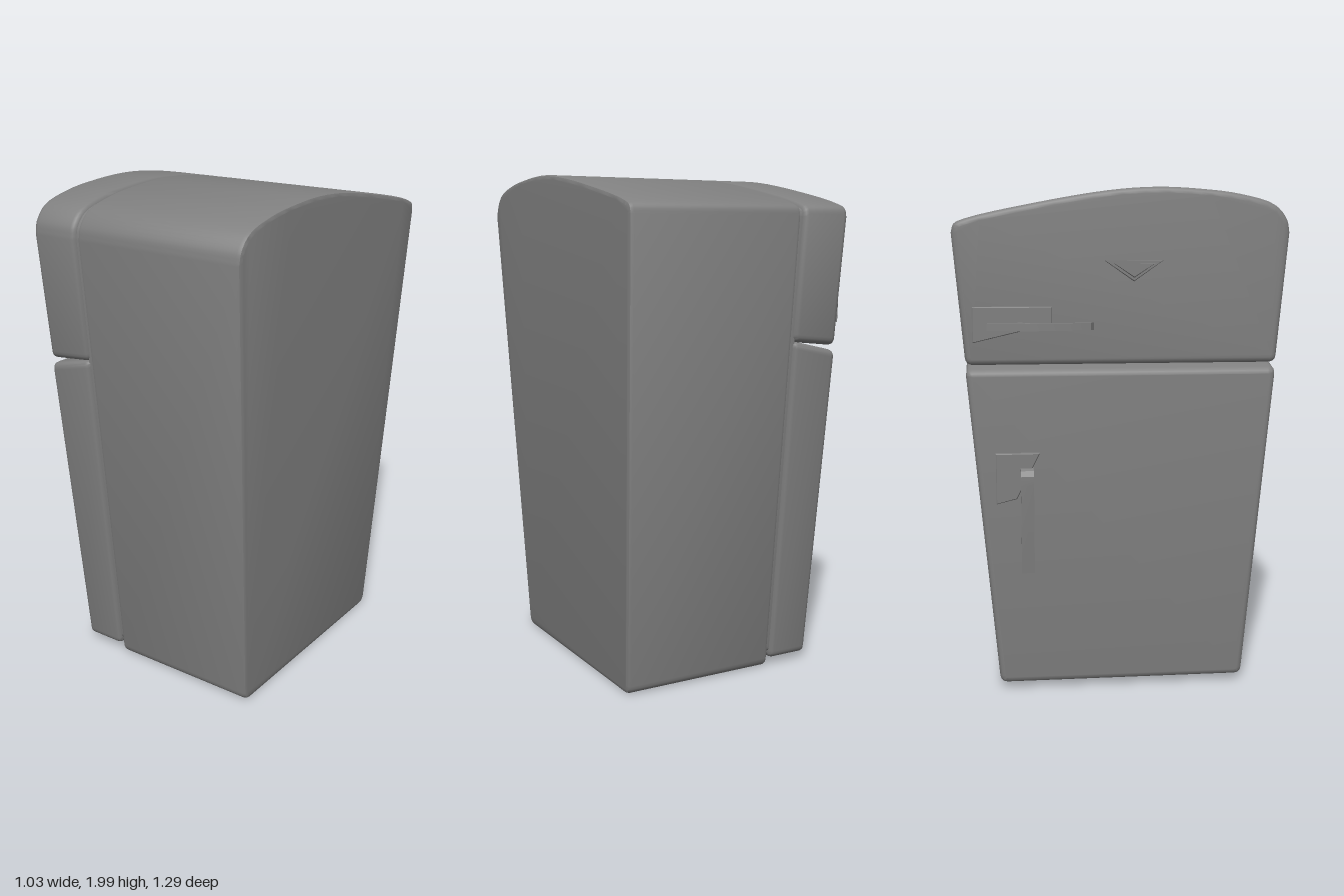
import * as THREE from 'three';
import { toCreasedNormals } from 'three/addons/utils/BufferGeometryUtils.js';

// The cabinet flares upward; its doors face -x.
const doorFront = (y) => -0.388 - 0.031 * y;
const doorBack = (y) => -0.213 - 0.0125 * y;
const bodyFront = (y) => -0.2 - 0.0125 * y;
const bodyBack = (y) => 0.442 + 0.035 * y;
const sidePos = (y) => 0.496 + 0.081 * y;
const sideNeg = (y) => -0.482 - 0.087 * y;

// Domed top edge as [z, y], from the +z shoulder to the -z shoulder
const DOME = [[0.645, 1.83], [0.634, 1.88], [0.585, 1.935], [0.45, 1.975], [0.3, 1.993], [0.13, 2],
  [-0.05, 1.987], [-0.33, 1.94], [-0.59, 1.882], [-0.632, 1.862], [-0.642, 1.83]];

// Closed [z, y] outline between two heights; no y1 means it ends in the dome
function outline(y0, y1, r = 0.035) {
  const pts = [];
  const corner = (a, c, b) => {
    const curve = new THREE.QuadraticBezierCurve(...[a, c, b].map((p) => new THREE.Vector2(...p)));
    curve.getPoints(5).forEach((p) => pts.push([p.x, p.y]));
  };
  const corners = (y, dir) => {
    const up = y + dir * r;
    const p = [[sidePos(up), up], [sidePos(y), y], [sidePos(y) - r, y]];
    const n = [[sideNeg(y) + r, y], [sideNeg(y), y], [sideNeg(up), up]];
    if (dir > 0) { corner(...n.reverse()); corner(...p.reverse()); } else { corner(...p); corner(...n); }
  };
  corners(y0, 1);
  if (y1) corners(y1, -1);
  else {
    const curve = new THREE.CatmullRomCurve3(DOME.map(([z, y]) => new THREE.Vector3(z, y, 0)), false, 'centripetal');
    curve.getPoints(40).forEach((p) => pts.push([p.x, p.y]));
  }
  return pts;
}

// Extrude a [z, y] outline along x between two sloping surfaces
function slab(points, xa, xb, { bevel = 0.004, depth = 0.2, inset = 0, segments = 1, shift } = {}) {
  const shape = new THREE.Shape(points.map(([z, y]) => new THREE.Vector2(-z, y)));
  const geo = new THREE.ExtrudeGeometry(shape, {
    depth: depth - 2 * bevel, bevelThickness: bevel, bevelSize: bevel,
    bevelOffset: -bevel - inset, bevelSegments: segments,
  });
  geo.translate(0, 0, bevel).rotateY(Math.PI / 2);
  const pos = geo.attributes.position;
  for (let i = 0; i < pos.count; i++) {
    const t = pos.getX(i) / depth;
    const y = pos.getY(i);
    pos.setX(i, xa(y) + t * (xb(y) - xa(y)));
    if (shift) pos.setY(i, y + shift(y, t));
  }
  return toCreasedNormals(geo, 0.6);
}

export function createModel() {
  const model = new THREE.Group();
  model.name = 'refrigerator';
  const enamel = new THREE.MeshStandardMaterial({ color: 0x808080 });
  enamel.name = 'grey enamel';
  const add = (name, geo, parent = model) => {
    const mesh = new THREE.Mesh(geo, enamel);
    mesh.name = name;
    parent.add(mesh);
    return mesh;
  };

  // Cabinet and the recessed seal behind the doors
  add('cabinet', slab(outline(0.01), bodyFront, bodyBack, { bevel: 0.016, depth: 0.68, segments: 2 }));
  add('doorSeal', slab(outline(0.05), (y) => doorBack(y) - 0.01, (y) => bodyFront(y) + 0.01,
    { bevel: 0.001, depth: 0.03, inset: 0.015 }));

  // Doors, parted by a wedge-shaped gap
  add('freezerDoor', slab(outline(1.335, 0, 0.03), doorFront, doorBack,
    { bevel: 0.022, segments: 3, shift: (y, t) => (y < 1.45 ? 0.02 * t - 0.005 : 0) }));
  add('mainDoor', slab(outline(0.037, 1.355, 0.03), doorFront, doorBack,
    { bevel: 0.022, segments: 3, shift: (y, t) => (y > 1.25 ? -0.045 * (1 - t) : 0) }));

  // Tapered plates standing proud of the door faces
  const plate = (name, points, height, parent) => add(name, slab(points,
    (y) => doorFront(y) - height, (y) => doorFront(y) + 0.006, { depth: height + 0.006, bevel: 0.003 }), parent);

  // Freezer handle: plate and bowed grip
  const freezerHandle = new THREE.Group();
  freezerHandle.name = 'freezerHandle';
  plate('freezerHandlePlate', [[-0.57, 1.42], [-0.27, 1.49], [-0.27, 1.555], [-0.57, 1.555]], 0.026, freezerHandle);
  const bow = new THREE.Shape();
  bow.moveTo(-0.455, 0.51);
  bow.lineTo(-0.487, 0.515);
  bow.quadraticCurveTo(-0.505, 0.45, -0.515, 0.33);
  bow.quadraticCurveTo(-0.512, 0.2, -0.492, 0.125);
  bow.lineTo(-0.47, 0.112);
  bow.quadraticCurveTo(-0.497, 0.24, -0.487, 0.36);
  bow.lineTo(-0.472, 0.38);
  bow.lineTo(-0.455, 0.38);
  const grip = new THREE.ExtrudeGeometry(bow, { depth: 0.028, bevelEnabled: false, curveSegments: 8 });
  grip.rotateX(-Math.PI / 2).translate(0, 1.468, 0);
  add('freezerHandleGrip', toCreasedNormals(grip, 0.6), freezerHandle);
  model.add(freezerHandle);

  // Main door handle: plate and hanging lever
  const mainHandle = new THREE.Group();
  mainHandle.name = 'mainHandle';
  plate('mainHandlePlate', [[-0.49, 0.79], [-0.41, 0.81], [-0.32, 0.99], [-0.49, 0.99]], 0.024, mainHandle);
  const lever = new THREE.Shape([[-0.42, 0.94], [-0.46, 0.925], [-0.475, 0.905], [-0.475, 0.87], [-0.437, 0.51],
    [-0.42, 0.51], [-0.452, 0.82], [-0.455, 0.86], [-0.42, 0.87]].map((p) => new THREE.Vector2(...p)));
  const leverGeo = new THREE.ExtrudeGeometry(lever, { depth: 0.05, bevelEnabled: false });
  leverGeo.translate(0, 0, -0.395);
  add('mainHandleLever', toCreasedNormals(leverGeo, 0.5), mainHandle);
  model.add(mainHandle);

  // Triangular ornament in two steps
  plate('ornamentBase', [[-0.07, 1.727], [0.155, 1.727], [0.043, 1.648]], 0.014);
  plate('ornamentTop', [[-0.035, 1.716], [0.122, 1.716], [0.043, 1.662]], 0.023);

  return model;
}
